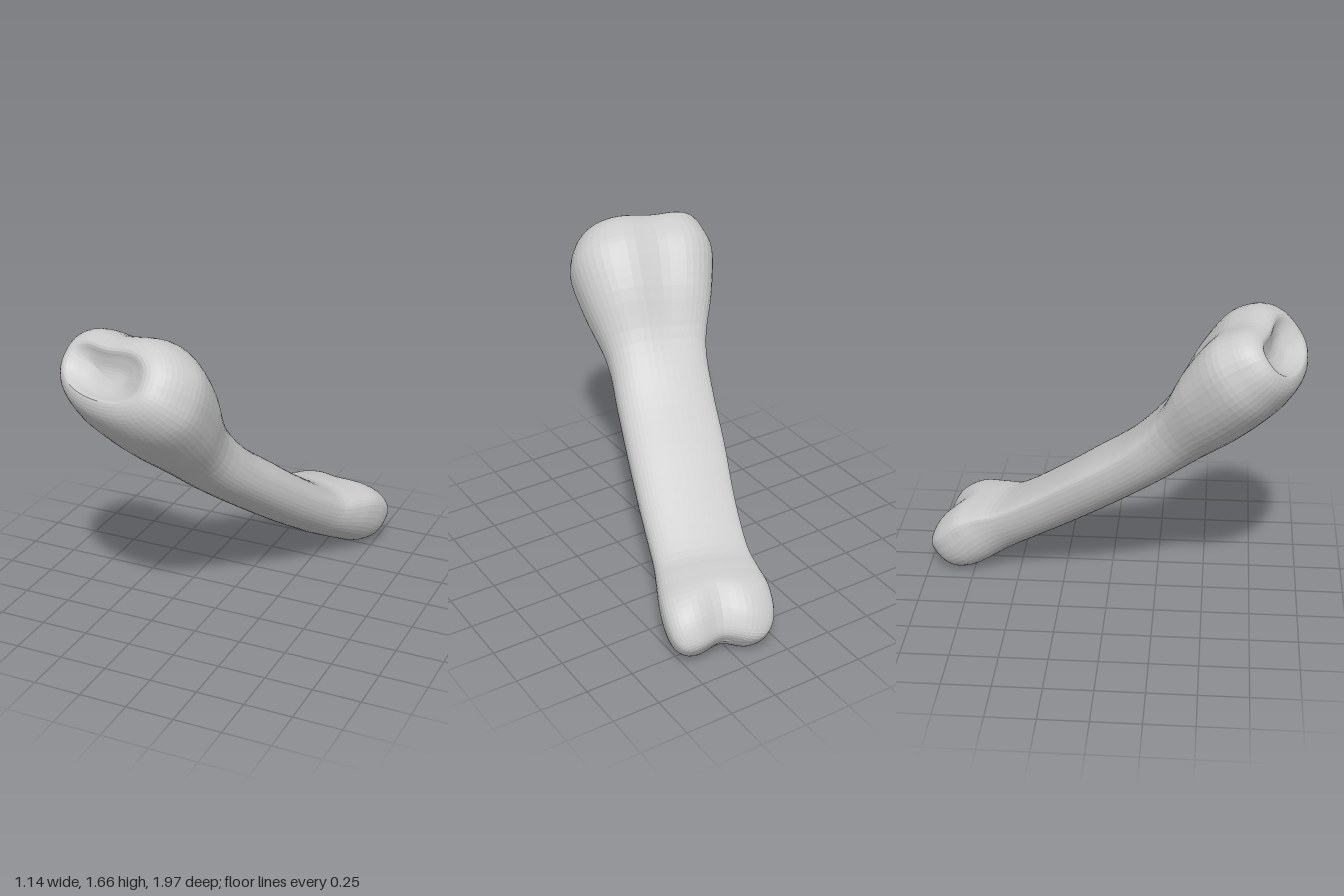
import * as THREE from 'three';

// Bone frame: D runs from base to head, W across, T towards the flat concave side
const O = new THREE.Vector3(0.02, 0.655, 0);
const D = new THREE.Vector3(0.26, -0.56, -0.79).normalize();
const W = new THREE.Vector3(0.95, 0, 0.31).normalize();
const T = new THREE.Vector3().crossVectors(W, D).normalize();

// Cross-sections: [position along D, left edge, right edge, low side, high side]
const STATIONS = [
  [-1.16, -0.02, -0.02, 0.20, 0.20],
  [-1.17, -0.12, 0.08, 0.14, 0.27],
  [-1.20, -0.20, 0.16, 0.10, 0.32],
  [-1.23, -0.265, 0.245, 0.07, 0.365],
  [-1.19, -0.315, 0.32, 0.01, 0.43],
  [-1.10, -0.35, 0.38, -0.035, 0.465],
  [-0.98, -0.37, 0.40, -0.067, 0.465],
  [-0.77, -0.325, 0.355, -0.10, 0.388],
  [-0.52, -0.25, 0.278, -0.115, 0.24],
  [-0.25, -0.24, 0.268, -0.135, 0.162],
  [0.05, -0.238, 0.266, -0.143, 0.145],
  [0.35, -0.225, 0.26, -0.143, 0.133],
  [0.62, -0.227, 0.252, -0.135, 0.14],
  [0.75, -0.245, 0.265, -0.131, 0.19],
  [0.87, -0.275, 0.28, -0.13, 0.238],
  [0.99, -0.28, 0.275, -0.122, 0.235],
  [1.08, -0.25, 0.245, -0.09, 0.195],
  [1.13, -0.175, 0.175, -0.02, 0.145],
  [1.14, 0, 0, 0.065, 0.065],
];

const { smoothstep } = THREE.MathUtils;
const spline = (pick) => new THREE.CatmullRomCurve3(
  STATIONS.map((r) => new THREE.Vector3(...pick(r))), false, 'catmullrom', 0.5);
const bell = (x, r) => Math.exp(-(x * x) / (r * r));
const power = (x, e) => Math.sign(x) * Math.abs(x) ** e;

// Bone surface: round on the low side, flattened on the high side
function boneGeometry(rings, sides) {
  const widths = spline((r) => [r[0], r[1], r[2]]);
  const heights = spline((r) => [r[0], r[3], r[4]]);
  const positions = [], index = [];
  for (let i = 0; i <= rings; i++) {
    const a = widths.getPoint(i / rings), b = heights.getPoint(i / rings);
    const head = smoothstep(a.x, 0.65, 1.0);
    const base = 1 - smoothstep(a.x, -1.1, -0.65);
    const hollow = 1 - smoothstep(a.x, -0.9, -0.25);
    // The left side is bevelled underneath, most strongly along the shaft
    const bevel = 0.08 + 0.12 * smoothstep(a.x, -0.9, -0.5) * (1 - head);
    for (let j = 0; j < sides; j++) {
      const ang = (j / sides) * Math.PI * 2, cos = Math.cos(ang), sin = Math.sin(ang);
      const mid = b.y + (b.z - b.y) * (0.53 + 0.1 * a.x + bevel * Math.max(0, -cos));
      const w = (a.y + a.z) / 2 + ((a.z - a.y) / 2) * power(cos, 0.9);
      let s = a.x;
      let t = sin > 0
        ? mid + (b.z - mid) * power(sin, 0.72)
        : mid + (mid - b.y) * power(sin, 0.95 - 0.15 * head);

      // Base: hollow between its two tubercles, end face a little askew
      s += base * (0.04 * (t - 0.2) + 0.03 * w);
      t -= 0.045 * hollow * bell(w + 0.06, 0.14) * smoothstep(t, mid, b.z);

      // Head: tilted, with a shallow groove between the two condyles
      const groove = head * bell(w, 0.1);
      s += head * 0.05 * w - 0.05 * groove;
      t += head * 0.1 * w + (0.06 - t) * 0.15 * groove;

      const p = O.clone().addScaledVector(D, s).addScaledVector(W, w).addScaledVector(T, t);
      positions.push(p.x, p.y, p.z);
      if (i < rings) {
        const k = (j + 1) % sides, r0 = i * sides, r1 = r0 + sides;
        index.push(r0 + j, r1 + j, r0 + k, r1 + j, r1 + k, r0 + k);
      }
    }
  }
  const geometry = new THREE.BufferGeometry();
  geometry.setAttribute('position', new THREE.Float32BufferAttribute(positions, 3));
  geometry.setIndex(index);

  // Stand on the ground, centred
  geometry.computeBoundingBox();
  const c = geometry.boundingBox.getCenter(new THREE.Vector3());
  geometry.translate(-c.x, -geometry.boundingBox.min.y, -c.z);
  geometry.computeVertexNormals();
  return geometry;
}

export function createModel() {
  const group = new THREE.Group();
  group.name = 'fingerBone';
  const material = new THREE.MeshStandardMaterial({ color: 0xcccccc, flatShading: true });
  const bone = new THREE.Mesh(boneGeometry(72, 48), material);
  bone.name = 'bone';
  group.add(bone);
  return group;
}
